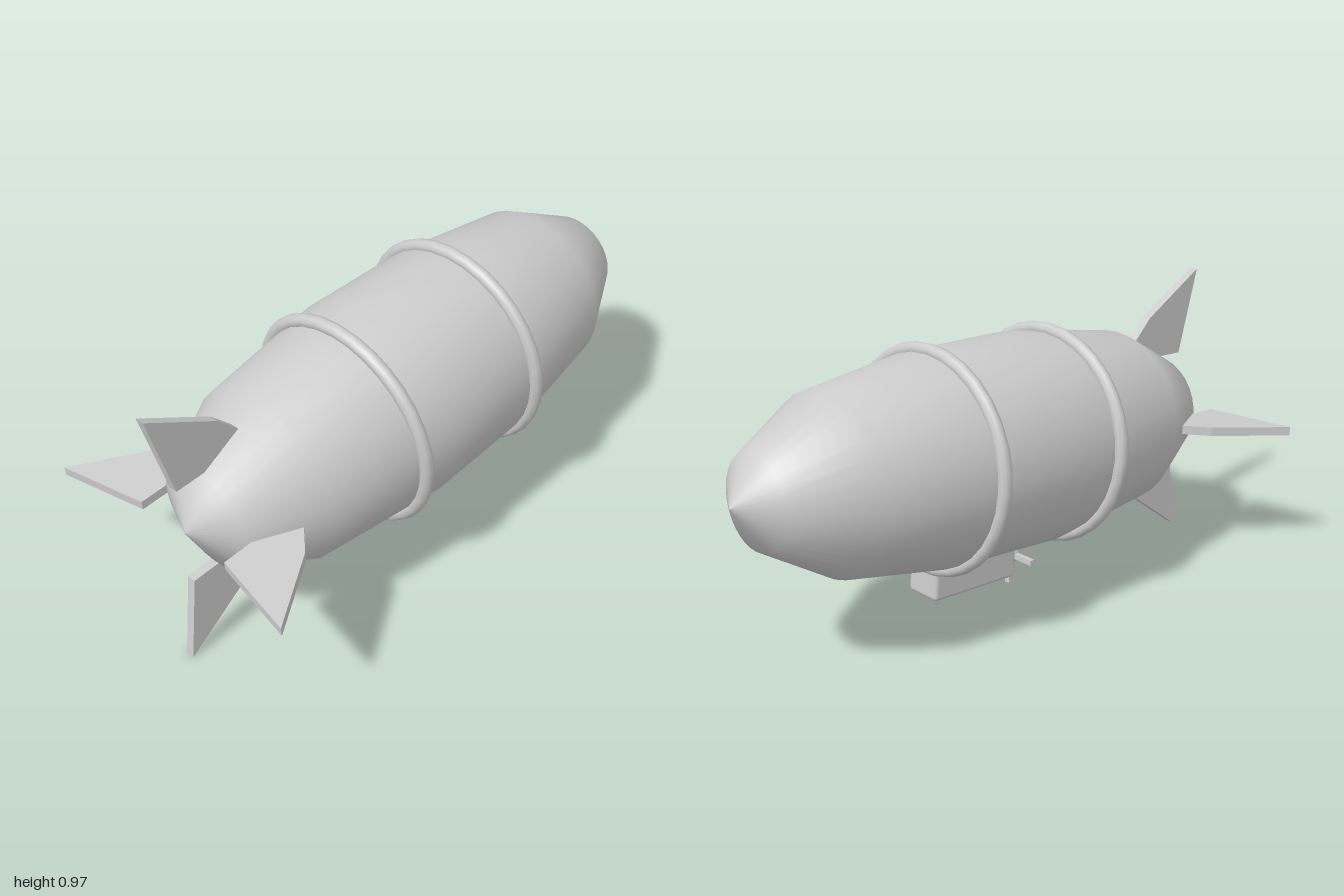
import * as THREE from 'three';
import { RoundedBoxGeometry } from 'three/addons/geometries/RoundedBoxGeometry.js';

const lightGrey = new THREE.MeshStandardMaterial({ color: 0xcccccc });
lightGrey.name = 'lightGrey';

function add(parent, name, geometry, x = 0, y = 0, z = 0) {
  const mesh = new THREE.Mesh(geometry, lightGrey);
  mesh.name = name;
  mesh.position.set(x, y, z);
  parent.add(mesh);
  return mesh;
}

export function createModel() {
  const model = new THREE.Group();
  model.name = 'airship';

  // Everything sits along a local x axis, pitched nose-up
  const ship = new THREE.Group();
  ship.name = 'pitchedShip';
  ship.position.y = 0.5565;
  ship.rotation.z = THREE.MathUtils.degToRad(4);
  model.add(ship);

  // Hull: [radius, distance along the axis], tail to nose
  const profile = [
    [0, -0.9], [0.18, -0.817], [0.301, -0.579], [0.355, -0.13],
    [0.345, 0.287], [0.286, 0.669], [0.15, 0.912], [0, 1.002],
  ].map(([r, x]) => new THREE.Vector2(r, x));
  add(ship, 'hull', new THREE.LatheGeometry(profile, 32).rotateZ(-Math.PI / 2));

  // Two bands around the hull
  for (const [name, x] of [['rearBand', -0.243], ['frontBand', 0.271]]) {
    add(ship, name, new THREE.TorusGeometry(0.351, 0.023, 10, 32).rotateY(Math.PI / 2), x);
  }

  // Four tail fins, one outline turned around the axis
  const outline = new THREE.Shape([
    [-0.968, 0.484], [-0.908, 0.185], [-0.6, 0.185], [-0.73, 0.331],
  ].map(([x, y]) => new THREE.Vector2(x, y)));
  const finGeometry = new THREE.ExtrudeGeometry(outline, { depth: 0.03, bevelEnabled: false });
  finGeometry.translate(0, 0, -0.015);
  ['topFin', 'rightFin', 'bottomFin', 'leftFin'].forEach((name, i) => {
    add(ship, name, finGeometry).rotation.x = i * Math.PI / 2;
  });

  // Gondola with softened edges
  add(ship, 'gondola', new RoundedBoxGeometry(0.354, 0.132, 0.132, 2, 0.014), 0.093, -0.396, 0);

  // Row of raised windows on the front side
  for (let i = 0; i < 4; i++) {
    add(ship, 'window', new THREE.BoxGeometry(0.045, 0.038, 0.02), -0.048 + i * 0.092, -0.398, 0.067);
  }

  // Propeller behind the gondola
  const propeller = new THREE.Group();
  propeller.name = 'propeller';
  propeller.position.set(-0.124, -0.409, 0);
  ship.add(propeller);
  add(propeller, 'hub', new THREE.SphereGeometry(0.031, 16, 12));
  add(propeller, 'shaft', new THREE.CylinderGeometry(0.01, 0.01, 0.05, 10).rotateZ(Math.PI / 2), 0.03);
  for (let i = 0; i < 2; i++) {
    add(propeller, 'bladePair', new THREE.BoxGeometry(0.018, 0.21, 0.018)).rotation.x = i * Math.PI / 2;
  }

  return model;
}
